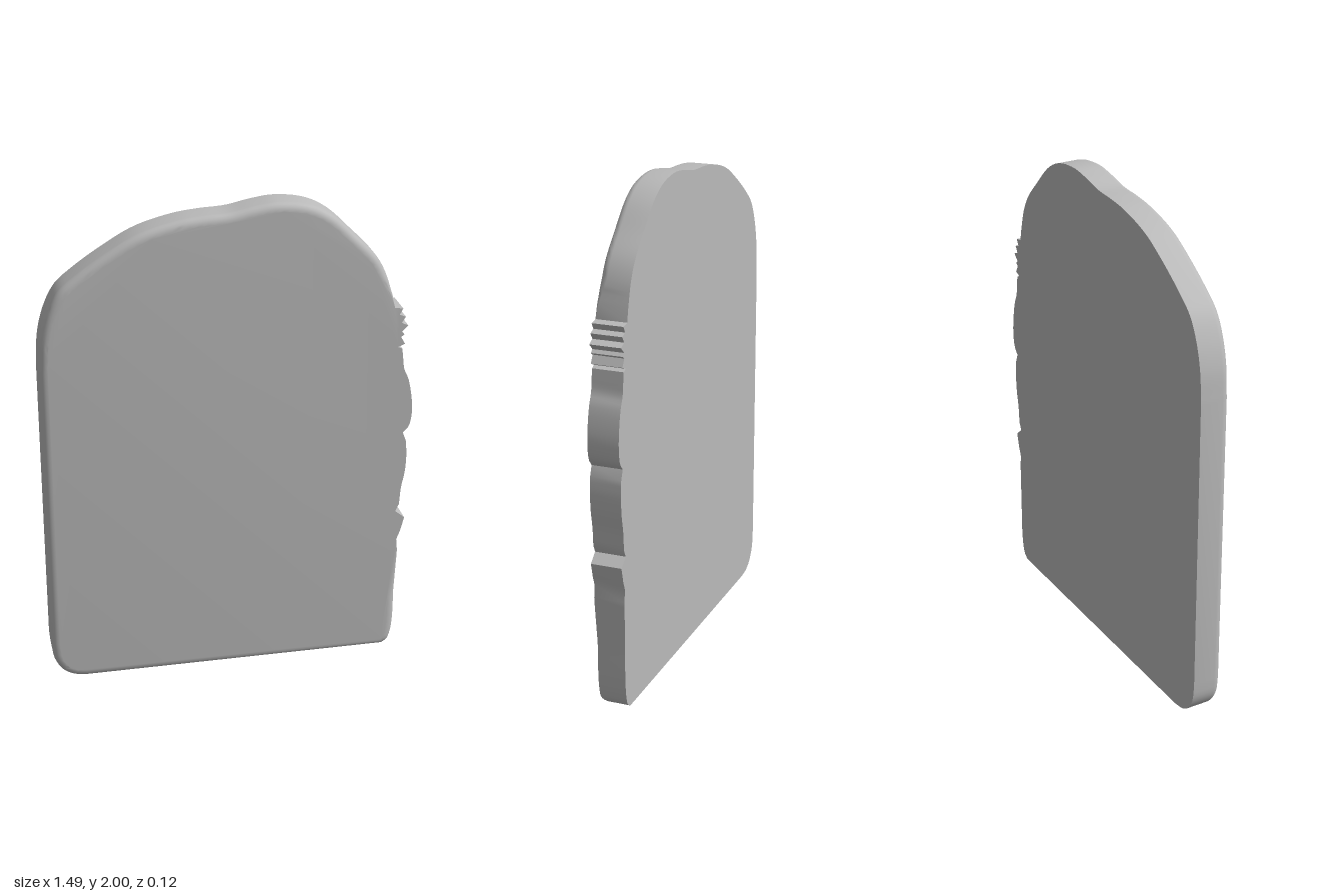
import * as THREE from 'three';
import { toCreasedNormals } from 'three/addons/utils/BufferGeometryUtils.js';

const HALF = 0.0625; // half the slab thickness
const BEVEL = 0.032; // rounding of the front rim
const STEPS = 5;

const vecs = (list) => list.map(([x, y]) => new THREE.Vector2(x, y));

// Smooth run through a few points
function smooth(list, divisions) {
  const curve = new THREE.CatmullRomCurve3(list.map(([x, y]) => new THREE.Vector3(x, y, 0)), false, 'centripetal');
  return curve.getPoints(divisions).map((p) => new THREE.Vector2(p.x, p.y));
}

// Counter-clockwise outline of the slab
function makeOutline() {
  const lowerRight = smooth([[0.665, 0], [0.69, 0.02], [0.703, 0.06], [0.71, 0.13], [0.71, 0.25], [0.71, 0.35], [0.71, 0.46]], 28);
  const chippedLow = vecs([[0.705, 0.51], [0.72, 0.55], [0.735, 0.61], [0.695, 0.643]]);
  const waveLow = smooth([[0.71, 0.675], [0.715, 0.75], [0.728, 0.82], [0.732, 0.89], [0.728, 0.96]], 12);
  const waveHigh = smooth([[0.713, 1.0], [0.737, 1.03], [0.747, 1.09], [0.742, 1.16], [0.725, 1.24], [0.707, 1.28], [0.7, 1.33], [0.695, 1.37]], 18);
  const chippedHigh = vecs([
    [0.677, 1.378], [0.705, 1.39], [0.688, 1.42], [0.702, 1.43], [0.69, 1.442],
    [0.716, 1.467], [0.688, 1.48], [0.704, 1.505], [0.678, 1.515], [0.692, 1.54], [0.658, 1.546],
  ]);
  const crown = smooth([
    [0.647, 1.6], [0.62, 1.69], [0.58, 1.76], [0.5, 1.843], [0.4, 1.937], [0.31, 1.983], [0.19, 2],
    [0.1, 1.99], [0, 1.97], [-0.1, 1.964], [-0.2, 1.952], [-0.35, 1.91], [-0.47, 1.845],
    [-0.6, 1.757], [-0.665, 1.7], [-0.71, 1.615], [-0.738, 1.51], [-0.748, 1.38],
  ], 90);
  const lowerLeft = smooth([[-0.748, 0.17], [-0.738, 0.09], [-0.705, 0.035], [-0.665, 0.01], [-0.61, 0]], 16);
  return [...lowerRight, ...chippedLow, ...waveLow, ...waveHigh, ...chippedHigh, ...crown, ...lowerLeft];
}

// The rim rounding fades out along the broken right side
function bevelAt(p) {
  if (p.x < 0.5) return BEVEL;
  const fade = Math.max((0.45 - p.y) / 0.2, (p.y - 1.57) / 0.12);
  return BEVEL * THREE.MathUtils.clamp(fade, 0, 1);
}

function makeSlab() {
  const outline = makeOutline();
  const n = outline.length;
  const inward = outline.map((p, i) => {
    const d = outline[(i + 1) % n].clone().sub(p).normalize()
      .add(p.clone().sub(outline[(i + n - 1) % n]).normalize()).normalize();
    return new THREE.Vector2(-d.y, d.x);
  });

  // Cross-section rings from the back to the inset front
  const rings = [outline.map((p) => new THREE.Vector3(p.x, p.y, -HALF))];
  for (let s = 0; s <= STEPS; s++) {
    const a = (s / STEPS) * Math.PI / 2;
    rings.push(outline.map((p, i) => {
      const r = bevelAt(p);
      const inset = r * (1 - Math.cos(a));
      return new THREE.Vector3(p.x + inward[i].x * inset, p.y + inward[i].y * inset, HALF - r + r * Math.sin(a));
    }));
  }

  const positions = [];
  const addFace = (a, b, c) => {
    const area = b.clone().sub(a).cross(c.clone().sub(a)).length();
    if (area > 1e-9) positions.push(...a, ...b, ...c);
  };

  // Rim
  for (let k = 0; k < rings.length - 1; k++) {
    const low = rings[k], high = rings[k + 1];
    for (let i = 0; i < n; i++) {
      const j = (i + 1) % n;
      addFace(low[i], low[j], high[j]);
      addFace(low[i], high[j], high[i]);
    }
  }

  // Flat front and back
  const cap = (ring, front) => {
    const flat = ring.map((p) => new THREE.Vector2(p.x, p.y));
    for (const [a, b, c] of THREE.ShapeUtils.triangulateShape(flat, [])) {
      if (front) addFace(ring[a], ring[b], ring[c]);
      else addFace(ring[a], ring[c], ring[b]);
    }
  };
  cap(rings[rings.length - 1], true);
  cap(rings[0], false);

  const geometry = new THREE.BufferGeometry();
  geometry.setAttribute('position', new THREE.Float32BufferAttribute(positions, 3));
  return toCreasedNormals(geometry, 0.5);
}

export function createModel() {
  const stone = new THREE.MeshStandardMaterial({ color: 0xbababa });
  stone.name = 'stone grey';
  const slab = new THREE.Mesh(makeSlab(), stone);
  slab.name = 'stoneSlab';
  const model = new THREE.Group();
  model.name = 'weatheredStone';
  model.add(slab);
  return model;
}
